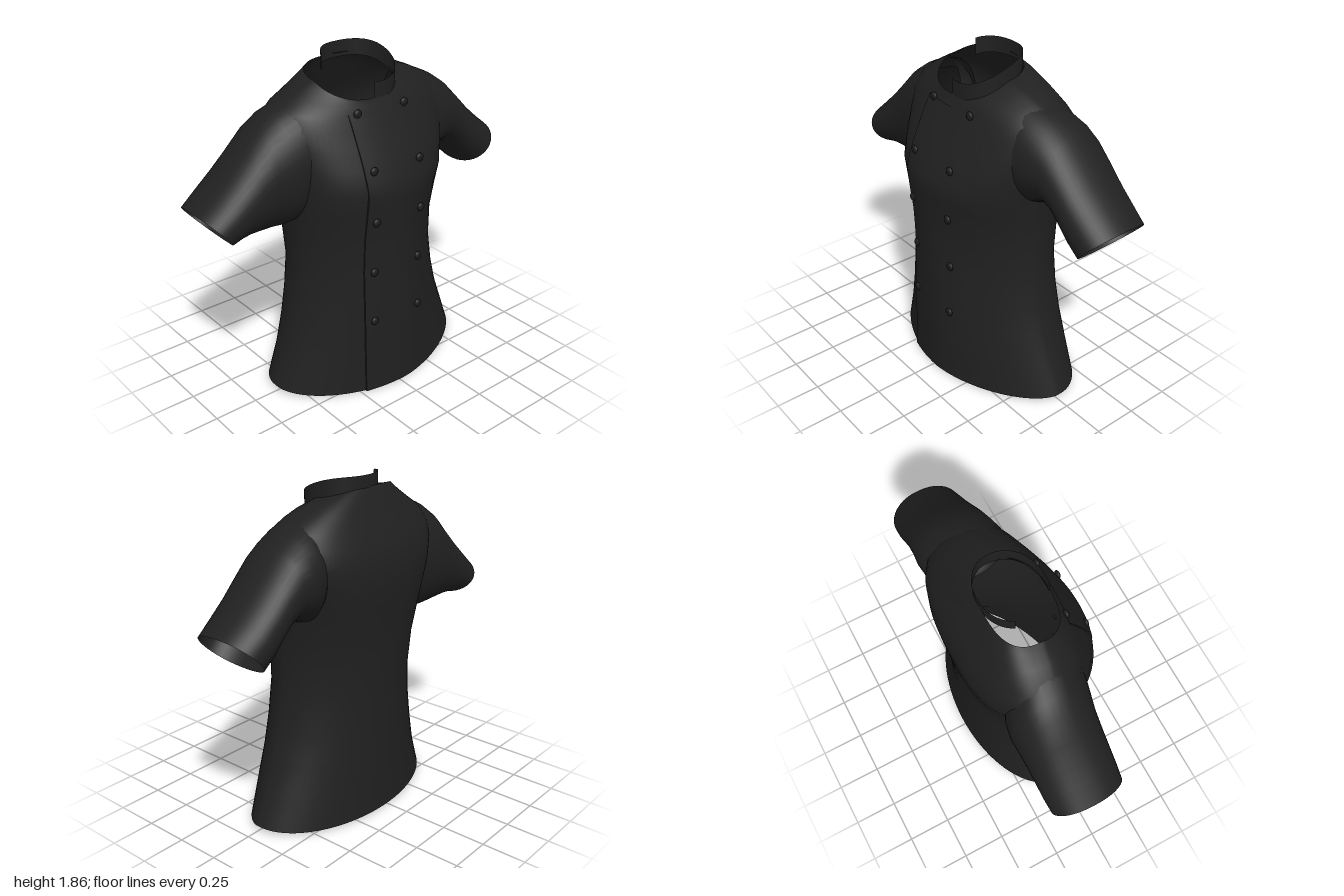
import * as THREE from 'three';

const fabric = new THREE.MeshStandardMaterial({ color: 0x202020, side: THREE.DoubleSide });
fabric.name = 'black fabric';
const buttonMat = new THREE.MeshStandardMaterial({ color: 0x1c1c1c });
buttonMat.name = 'button black';

// Torso rings, hem to neck: side y, front y, back y, min x, max x, front z, back z
const RINGS = [
  [0.035, 0, 0.01, -0.61, 0.68, 0.36, -0.37],
  [0.2, 0.2, 0.2, -0.55, 0.61, 0.36, -0.36],
  [0.38, 0.38, 0.38, -0.505, 0.54, 0.36, -0.355],
  [0.55, 0.55, 0.55, -0.475, 0.493, 0.358, -0.35],
  [0.75, 0.75, 0.75, -0.452, 0.46, 0.355, -0.35],
  [0.95, 0.95, 0.95, -0.46, 0.455, 0.355, -0.352],
  [1.1, 1.1, 1.1, -0.48, 0.465, 0.362, -0.36],
  [1.22, 1.22, 1.22, -0.49, 0.475, 0.368, -0.372],
  [1.35, 1.33, 1.35, -0.51, 0.5, 0.325, -0.38],
  [1.46, 1.44, 1.46, -0.53, 0.53, 0.272, -0.37],
  [1.56, 1.53, 1.55, -0.54, 0.54, 0.225, -0.335],
  [1.635, 1.59, 1.63, -0.49, 0.49, 0.195, -0.29],
  [1.695, 1.625, 1.71, -0.39, 0.385, 0.178, -0.25],
  [1.735, 1.645, 1.77, -0.32, 0.28, 0.168, -0.22],
  [1.75, 1.655, 1.8, -0.29, 0.19, 0.165, -0.2],
];

const { lerp, smoothstep, clamp } = THREE.MathUtils;
const power = (v, e) => Math.sign(v) * Math.abs(v) ** e;

// Roundness: pointed towards the side seams low down, fuller at the shoulders
const frontRoundness = (y, side) => lerp(side > 0 ? 1.25 : 1.1, 0.9, smoothstep(y, 0.8, 1.4));
const backRoundness = y => lerp(1.0, 0.7, smoothstep(y, 0.7, 1.4));

// Point on a torso ring; angle 0 is +x, a quarter turn is the front
function ringPoint([yS, yF, yB, x0, x1, zF, zB], a) {
  const c = Math.cos(a), s = Math.sin(a);
  const e = s > 0 ? frontRoundness(yF, c) : backRoundness(yB);
  return [
    (x0 + x1) / 2 + power(c, e) * (x1 - x0) / 2,
    yS + ((s > 0 ? yF : yB) - yS) * Math.abs(s),
    (zF + zB) / 2 + power(s, e) * (zF - zB) / 2,
  ];
}

// Surface through rows of points; keep() can leave faces out
function loft(rows, closed, keep = () => true) {
  const n = rows[0].length, index = [];
  for (let r = 0; r < rows.length - 1; r++) {
    for (let i = 0; i < (closed ? n : n - 1); i++) {
      const j = (i + 1) % n;
      if (!keep(rows[r][i], rows[r + 1][j])) continue;
      const a = r * n + i, b = r * n + j;
      index.push(a, a + n, b, b, a + n, b + n);
    }
  }
  const g = new THREE.BufferGeometry();
  g.setAttribute('position', new THREE.Float32BufferAttribute(rows.flat(2), 3));
  g.setIndex(index);
  g.computeVertexNormals();
  return g;
}

// Depth of the front surface at x, y
function frontZ(x, y) {
  let k = 0;
  while (k < RINGS.length - 2 && RINGS[k + 1][1] < y) k++;
  const p = RINGS[k], q = RINGS[k + 1];
  const t = clamp((y - p[1]) / (q[1] - p[1]), 0, 1);
  const [, , , x0, x1, zF, zB] = p.map((v, i) => lerp(v, q[i], t));
  const u = (x - (x0 + x1) / 2) / ((x1 - x0) / 2), e = frontRoundness(y, u);
  const c = Math.min(1, Math.abs(u)) ** (1 / e);
  return (zF + zB) / 2 + Math.sqrt(1 - c * c) ** e * (zF - zB) / 2;
}

export function createModel() {
  const group = new THREE.Group();
  const add = (name, geometry, material = fabric) => {
    const mesh = new THREE.Mesh(geometry, material);
    mesh.name = name;
    group.add(mesh);
    return mesh;
  };

  // Torso with armholes left open inside the sleeves
  const N = 80;
  const rows = RINGS.map(r =>
    Array.from({ length: N }, (_, i) => ringPoint(r, (i / N) * Math.PI * 2)));
  add('torso', loft(rows, true, (p, q) => {
    const x = Math.abs(p[0] + q[0]) / 2, y = (p[1] + q[1]) / 2, z = (p[2] + q[2]) / 2;
    return !(x > 0.46 && y > 1.25 && y < 1.52 && z > -0.22 && z < 0.05);
  }));

  // Sleeves: top x, top y, bottom x, bottom y, front z, back z
  const sleeves = {
    leftSleeve: [
      [0.37, 1.69, 0.4, 1.16, 0.16, -0.27], [0.45, 1.665, 0.44, 1.16, 0.16, -0.3],
      [0.53, 1.627, 0.5, 1.19, 0.145, -0.308], [0.61, 1.573, 0.57, 1.21, 0.13, -0.3],
      [0.71, 1.475, 0.63, 1.19, 0.122, -0.295], [0.8, 1.385, 0.68, 1.14, 0.12, -0.293],
      [0.9, 1.3, 0.74, 1.075, 0.12, -0.293], [0.99, 1.23, 0.8, 1.02, 0.115, -0.287],
    ],
    rightSleeve: [
      [-0.37, 1.69, -0.4, 1.04, 0.16, -0.27], [-0.45, 1.66, -0.45, 1.02, 0.16, -0.3],
      [-0.53, 1.622, -0.53, 1.005, 0.145, -0.312], [-0.61, 1.568, -0.6, 1.01, 0.13, -0.306],
      [-0.71, 1.465, -0.68, 1.015, 0.125, -0.3], [-0.8, 1.375, -0.74, 1.02, 0.122, -0.297],
      [-0.9, 1.285, -0.79, 1.02, 0.12, -0.295], [-1.0, 1.2, -0.84, 1.01, 0.115, -0.287],
    ],
  };
  for (const [name, sections] of Object.entries(sleeves)) {
    const dir = name === 'leftSleeve' ? -1 : 1;
    add(name, loft(sections.map(([tx, ty, bx, by, zF, zB]) =>
      Array.from({ length: 40 }, (_, i) => {
        const a = dir * (i / 40) * Math.PI * 2, c = Math.cos(a) / 2;
        return [(tx + bx) / 2 + (tx - bx) * c, (ty + by) / 2 + (ty - by) * c,
          (zF + zB) / 2 + power(Math.sin(a), 0.9) * (zF - zB) / 2];
      })), true));
  }

  // Stand collar rising to the back, open on the right side of the neck
  const collarRow = lift => Array.from({ length: 45 }, (_, i) => {
    const a = -2.75 + (i / 44) * 4.5;
    const x = 0.19 * power(Math.cos(a), 0.9), z = -0.018 + 0.184 * power(Math.sin(a), 0.9);
    const t = (0.166 - z) / 0.368;
    return [x, 1.66 + 0.14 * (1 - (1 - t) ** 1.8) + lift * (1 - 0.15 * t), z];
  });
  add('collar', loft([collarRow(-0.03), collarRow(0.03), collarRow(0.075)], false));

  // Overlapping front panel, fading into the torso on its left
  const panel = [];
  for (let r = 0; r <= 32; r++) {
    panel.push(Array.from({ length: 13 }, (_, i) => {
      const x = -0.22 + 0.5 * i / 12, y = lerp(0.008 * i / 12, 1.6, r / 32);
      return [x, y, frontZ(x, y) + 0.007 * (1 - i / 12) + 0.001];
    }));
  }
  add('frontPanel', loft(panel, false));
  add('panelEdge', loft(panel.map(([p]) => [[p[0], p[1], p[2] - 0.012], p]), false));

  // Two columns of domed buttons
  const dome = new THREE.SphereGeometry(0.024, 16, 10).scale(1, 1, 0.55);
  for (const y of [1.6, 1.33, 1.05, 0.75, 0.45]) {
    for (const x of [-0.17, 0.137]) {
      add('button', dome, buttonMat).position.set(x, y, frontZ(x, y) + 0.009);
    }
  }
  return group;
}
